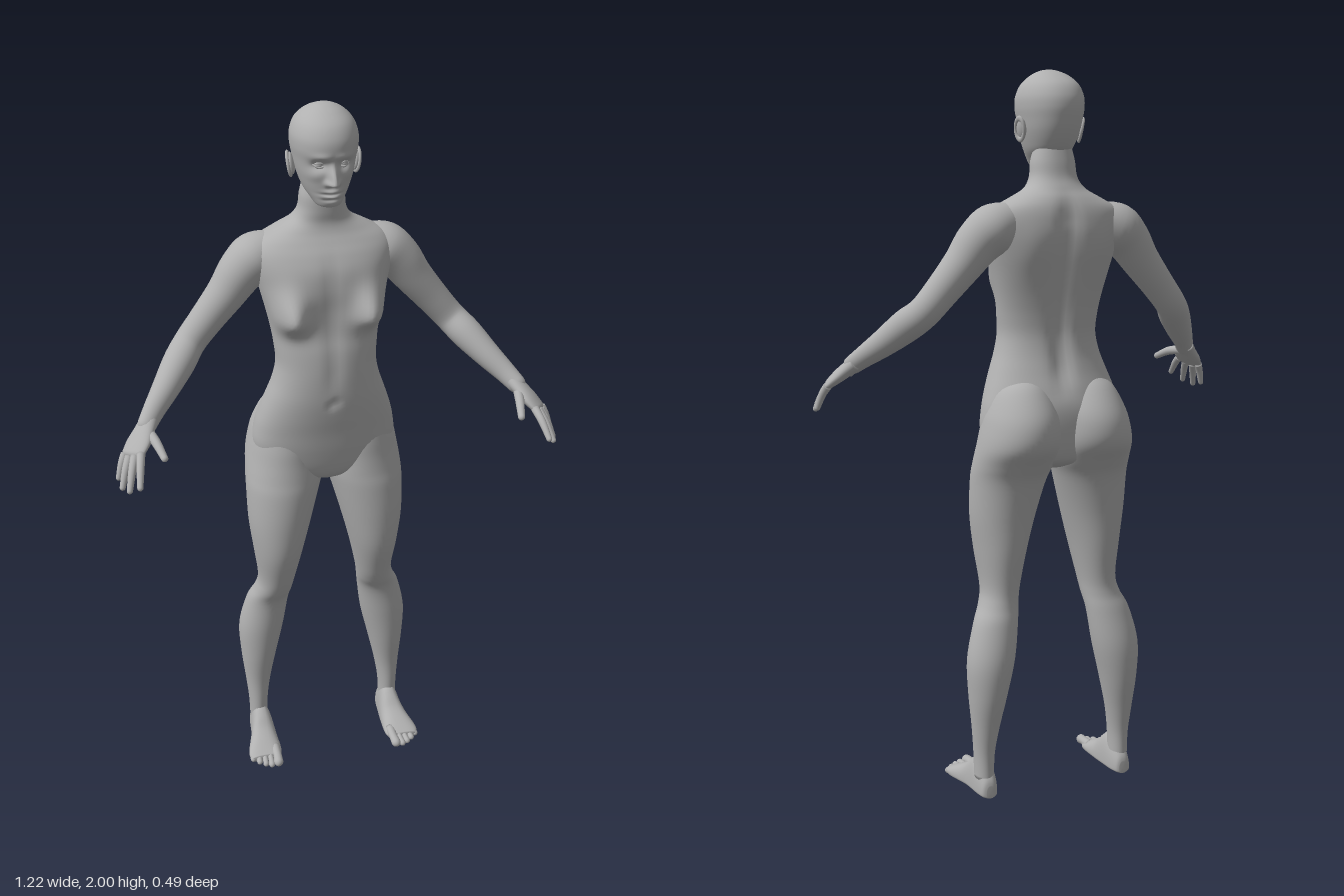
import * as THREE from 'three';

const skinGrey = new THREE.MeshStandardMaterial({ color: 0xb0b0b0 });
skinGrey.name = 'skinGrey';

const V = (x, y, z) => new THREE.Vector3(x, y, z);
const bump = (d, s) => Math.exp(-(d * d) / (s * s));
const smooth = (a, b, t) => THREE.MathUtils.smoothstep(t, a, b);

// Catmull-Rom interpolation of number rows, n steps between neighbours
function refine(rows, n) {
  const out = [];
  const at = i => rows[Math.max(0, Math.min(rows.length - 1, i))];
  for (let i = 0; i < rows.length - 1; i++) {
    for (let k = 0; k < n; k++) {
      const t = k / n, t2 = t * t, t3 = t2 * t;
      out.push(at(i).map((p1, c) => {
        const p0 = at(i - 1)[c], p2 = at(i + 1)[c], p3 = at(i + 2)[c];
        return 0.5 * (2 * p1 + (p2 - p0) * t + (2 * p0 - 5 * p1 + 4 * p2 - p3) * t2 + (3 * p1 - p0 - 3 * p2 + p3) * t3);
      }));
    }
  }
  out.push(rows[rows.length - 1]);
  return out;
}

// Closed smooth surface through rings of points; side -1 mirrors it in x
function skin(name, rings, side = 1) {
  const n = rings[0].length, pos = [], idx = [];
  const push = p => pos.push(p.x * side, p.y, p.z);
  rings.forEach(r => r.forEach(push));
  for (const r of [rings[0], rings[rings.length - 1]]) {
    push(r.reduce((s, p) => s.add(p), V(0, 0, 0)).divideScalar(n));
  }
  const a = rings.length * n, last = (rings.length - 1) * n;
  for (let j = 0; j < n; j++) {
    const k = (j + 1) % n;
    for (let i = 0; i < last; i += n) idx.push(i + j, i + k, i + n + j, i + k, i + n + k, i + n + j);
    idx.push(a, k, j, a + 1, last + j, last + k);
  }
  // signed volume decides the winding
  let vol = 0;
  const P = i => V(pos[3 * i], pos[3 * i + 1], pos[3 * i + 2]);
  for (let i = 0; i < idx.length; i += 3) vol += P(idx[i]).dot(P(idx[i + 1]).cross(P(idx[i + 2])));
  if (vol < 0) idx.reverse();
  const g = new THREE.BufferGeometry();
  g.setAttribute('position', new THREE.Float32BufferAttribute(pos, 3));
  g.setIndex(idx);
  g.computeVertexNormals();
  return solid(name, g);
}

function solid(name, geometry) {
  const m = new THREE.Mesh(geometry, skinGrey);
  m.name = name;
  return m;
}

// Horizontal sections: rows of [y, x0, x1, zFront, zBack]
function stack(rows, steps, seg, e = 1, shape = p => p) {
  const pw = v => Math.sign(v) * Math.abs(v) ** e;
  return refine(rows, steps).map(([y, x0, x1, zf, zb]) => Array.from({ length: seg }, (_, j) => {
    const t = j / seg * Math.PI * 2;
    return shape(V((x0 + x1) / 2 + (x1 - x0) / 2 * pw(Math.cos(t)), y, (zf + zb) / 2 + (zf - zb) / 2 * pw(Math.sin(t))), Math.sin(t));
  }));
}

// Limb along a path: rows of [x, y, z, radiusAlongRef, radiusAcross], with a rounded end
function limb(rows, ref, steps, seg) {
  const r = refine(rows, steps), rings = [];
  const ring = (c, u, v, ru, rv) => rings.push(Array.from({ length: seg }, (_, j) => {
    const t = j / seg * Math.PI * 2;
    return c.clone().addScaledVector(u, ru * Math.cos(t)).addScaledVector(v, rv * Math.sin(t));
  }));
  r.forEach(([x, y, z, ru, rv], i) => {
    const a = r[Math.max(0, i - 1)], b = r[Math.min(r.length - 1, i + 1)];
    const d = V(b[0] - a[0], b[1] - a[1], b[2] - a[2]).normalize();
    const u = ref.clone().addScaledVector(d, -ref.dot(d)).normalize(), v = d.clone().cross(u);
    ring(V(x, y, z), u, v, ru, rv);
    if (i === r.length - 1) {
      for (const q of [0.35, 0.7, 1.05, 1.35]) {
        ring(V(x, y, z).addScaledVector(d, Math.min(ru, rv) * Math.sin(q)), u, v, ru * Math.cos(q), rv * Math.cos(q));
      }
    }
  });
  return rings;
}

// Trunk and neck: [y, halfWidth, zFront, zBack]
const trunkRows = [
  [0.93, 0.05, -0.03, -0.12], [0.95, 0.12, -0.005, -0.17], [0.98, 0.18, 0.01, -0.19], [1.04, 0.205, 0.022, -0.2],
  [1.1, 0.2, 0.03, -0.2], [1.15, 0.186, 0.038, -0.187], [1.2, 0.168, 0.044, -0.17], [1.25, 0.15, 0.046, -0.157],
  [1.3, 0.14, 0.045, -0.152], [1.35, 0.143, 0.04, -0.157], [1.4, 0.15, 0.03, -0.167], [1.46, 0.163, 0.025, -0.182],
  [1.52, 0.178, 0.025, -0.197], [1.57, 0.19, 0.018, -0.205], [1.61, 0.193, 0, -0.204], [1.64, 0.175, -0.02, -0.198],
  [1.665, 0.13, -0.035, -0.187], [1.69, 0.085, -0.042, -0.17], [1.72, 0.065, -0.04, -0.155],
  [1.76, 0.06, -0.04, -0.148], [1.8, 0.05, -0.05, -0.14]];
function trunkShape(p, s) {
  const { x, y } = p, ax = Math.abs(x);
  if (s > 0) {
    p.z += 0.066 * bump(ax - 0.11, 0.043) * bump(y - 1.452, y < 1.452 ? 0.042 : 0.065) * smooth(0, 0.4, s);
    p.z -= 0.008 * bump(x, 0.01) * bump(y - 1.2, 0.014);
    p.z -= 0.006 * bump(x, 0.02) * smooth(1.2, 1.3, y) * (1 - smooth(1.55, 1.65, y));
  } else {
    p.z += 0.016 * bump(x, 0.025) * smooth(1.12, 1.22, y) * (1 - smooth(1.6, 1.7, y));
    p.z -= 0.008 * bump(ax - 0.1, 0.05) * bump(y - 1.53, 0.07);
  }
  return p;
}

// Head: [y, halfWidth, zFront, zBack]
const headRows = [
  [1.748, 0.02, 0.005, -0.04], [1.753, 0.034, 0.014, -0.07], [1.768, 0.045, 0.021, -0.105], [1.788, 0.058, 0.023, -0.14],
  [1.81, 0.067, 0.028, -0.158], [1.84, 0.076, 0.031, -0.173], [1.87, 0.082, 0.036, -0.182], [1.9, 0.087, 0.042, -0.187],
  [1.93, 0.086, 0.038, -0.183], [1.96, 0.074, 0.02, -0.165], [1.983, 0.051, -0.012, -0.13],
  [1.996, 0.025, -0.042, -0.095], [2, 0.004, -0.065, -0.073]];
function faceShape(p, s) {
  if (s <= 0) return p;
  const { x, y } = p, ax = Math.abs(x), f = smooth(0, 0.5, s);
  const ridge = smooth(1.808, 1.82, y) * (1 - smooth(1.822, 1.878, y));
  p.z += 0.036 * ridge * bump(x, 0.011);
  p.z += 0.012 * bump(ax - 0.012, 0.008) * bump(y - 1.819, 0.008);
  p.z -= f * 0.015 * bump(ax - 0.032, 0.019) * bump(y - 1.864, 0.013);
  p.z += f * 0.005 * bump(ax - 0.03, 0.024) * bump(y - 1.886, 0.009);
  p.z += f * 0.005 * bump(ax - 0.048, 0.02) * bump(y - 1.835, 0.015);
  p.z += 0.009 * bump(x, 0.021) * (bump(y - 1.795, 0.006) + bump(y - 1.781, 0.006));
  p.z -= 0.006 * bump(x, 0.022) * (bump(y - 1.788, 0.003) + bump(y - 1.772, 0.005));
  return p;
}

// Hip to ankle; the rounded top forms the buttock: [y, xInner, xOuter, zFront, zBack]
const legRows = [
  [1.19, 0.07, 0.11, -0.09, -0.14], [1.16, 0.03, 0.165, -0.03, -0.186], [1.1, 0.003, 0.197, 0.0, -0.23],
  [1.05, -0.003, 0.212, 0.01, -0.246], [1, -0.003, 0.222, 0.015, -0.24], [0.95, 0.002, 0.228, 0.022, -0.205],
  [0.9, 0.018, 0.23, 0.03, -0.178], [0.8, 0.046, 0.228, 0.036, -0.16], [0.7, 0.072, 0.216, 0.03, -0.15],
  [0.6, 0.094, 0.204, 0, -0.137], [0.55, 0.102, 0.214, -0.02, -0.14], [0.5, 0.11, 0.237, -0.042, -0.155],
  [0.4, 0.125, 0.26, -0.045, -0.175], [0.3, 0.148, 0.257, -0.05, -0.17], [0.2, 0.17, 0.247, -0.06, -0.15],
  [0.12, 0.182, 0.24, -0.06, -0.136], [0.05, 0.184, 0.238, -0.06, -0.134]];

// Heel to ball of the foot: [z, xInner, xOuter, top]
const footRows = [
  [-0.143, 0.197, 0.22, 0.035], [-0.136, 0.187, 0.232, 0.055], [-0.11, 0.179, 0.239, 0.085], [-0.07, 0.175, 0.243, 0.105],
  [-0.04, 0.172, 0.247, 0.088], [-0.01, 0.17, 0.256, 0.062], [0.03, 0.168, 0.268, 0.042], [0.055, 0.17, 0.27, 0.03],
  [0.072, 0.178, 0.262, 0.022]];
const toes = [[0.187, 0.101, 0.0145], [0.208, 0.103, 0.0095], [0.225, 0.095, 0.009], [0.242, 0.082, 0.009], [0.259, 0.065, 0.009]];

const armRows = [
  [0.12, 1.612, -0.12, 0.05, 0.045], [0.175, 1.588, -0.117, 0.072, 0.066], [0.22, 1.55, -0.11, 0.064, 0.062],
  [0.262, 1.495, -0.105, 0.055, 0.053], [0.32, 1.426, -0.1, 0.047, 0.046], [0.368, 1.37, -0.09, 0.044, 0.043],
  [0.405, 1.332, -0.05, 0.045, 0.044], [0.45, 1.285, 0, 0.038, 0.037], [0.49, 1.246, 0.045, 0.028, 0.03],
  [0.515, 1.22, 0.077, 0.024, 0.026]];
// Wrist to knuckles, wide across the hand
const palmRows = [
  [0.505, 1.23, 0.062, 0.026, 0.022], [0.522, 1.212, 0.085, 0.033, 0.02], [0.542, 1.19, 0.11, 0.043, 0.018],
  [0.56, 1.17, 0.13, 0.042, 0.014]];
const across = V(0.035, -0.015, -0.047).normalize();
// Knuckle, tip
const fingers = {
  indexFinger: [V(0.543, 1.178, 0.155), V(0.558, 1.122, 0.234)],
  middleFinger: [V(0.558, 1.168, 0.143), V(0.583, 1.1, 0.205)],
  ringFinger: [V(0.571, 1.16, 0.126), V(0.598, 1.091, 0.167)],
  littleFinger: [V(0.58, 1.16, 0.108), V(0.603, 1.1, 0.128)],
  thumb: [V(0.513, 1.208, 0.098), V(0.487, 1.18, 0.198)],
};

export function createModel() {
  const model = new THREE.Group();
  model.name = 'figure';
  const wide = rows => rows.map(([y, w, f, b]) => [y, -w, w, f, b]);
  model.add(skin('trunk', stack(wide(trunkRows), 5, 72, 0.9, trunkShape)));
  model.add(skin('head', stack(wide(headRows), 8, 128, 0.95, faceShape)));

  for (const side of [1, -1]) {
    const pre = side > 0 ? 'left' : 'right';
    const add = (name, rings) => model.add(skin(pre + name, rings, side));
    add('Leg', stack(legRows, 5, 48));
    add('Arm', limb(armRows, V(0, 0, 1), 5, 32));

    // Foot with a flat sole and five toes
    add('Foot', refine(footRows, 4).map(([z, x0, x1, top]) => Array.from({ length: 32 }, (_, j) => {
      const t = j / 32 * Math.PI * 2, s = Math.sin(t);
      const w = (x1 - x0) / 2 * Math.sign(Math.cos(t)) * Math.abs(Math.cos(t)) ** 0.8;
      return V((x0 + x1) / 2 + w, s > 0 ? 0.014 + (top - 0.014) * s : 0.014 * (1 - Math.abs(s) ** 0.6), z);
    })));
    toes.forEach(([x, z, r], i) => add('Toe' + (i + 1), limb([
      [x, r + 0.006, 0.035, r, r], [x, r + 0.004, z - 0.025, r * 0.9, r * 0.9], [x + 0.002, r, z, r, r]], V(1, 0, 0), 4, 14)));

    // Hand
    add('Palm', limb(palmRows, across, 4, 28));
    for (const [name, [a, b]] of Object.entries(fingers)) {
      const r = name === 'thumb' ? 0.0125 : 0.0105, m = a.clone().lerp(b, 0.5);
      m.y += 0.006;
      add(name[0].toUpperCase() + name.slice(1), limb([
        [...a.toArray(), r * 1.1, r * 1.1], [...m.toArray(), r, r], [...b.toArray(), r * 0.75, r * 0.75]], across, 5, 14));
    }

    // Ear: flat shell with a rim
    const ear = new THREE.Group();
    ear.name = pre + 'Ear';
    const shell = solid('earShell', new THREE.SphereGeometry(1, 20, 14).scale(0.009, 0.029, 0.017));
    const rim = solid('earRim', new THREE.TorusGeometry(0.017, 0.0045, 10, 28).scale(1, 1.65, 1).rotateY(Math.PI / 2));
    rim.position.x = side * 0.006;
    ear.add(shell, rim);
    ear.position.set(side * 0.084, 1.845, -0.08);
    ear.rotation.set(-0.2, side * 0.35, side * -0.12);
    model.add(ear);

    // Eye with upper and lower lid
    const eye = solid(pre + 'Eye', new THREE.SphereGeometry(0.0125, 20, 14));
    eye.position.set(side * 0.032, 1.864, 0.008);
    model.add(eye);
    for (const [name, dy] of [['UpperLid', 0.006], ['LowerLid', -0.006]]) {
      add(name, limb([[0.017, 1.862, 0.017, 0.002, 0.002], [0.032, 1.864 + dy, 0.019, 0.003, 0.003],
        [0.047, 1.864, 0.009, 0.002, 0.002]], V(0, 1, 0), 6, 10));
    }
  }
  return model;
}
